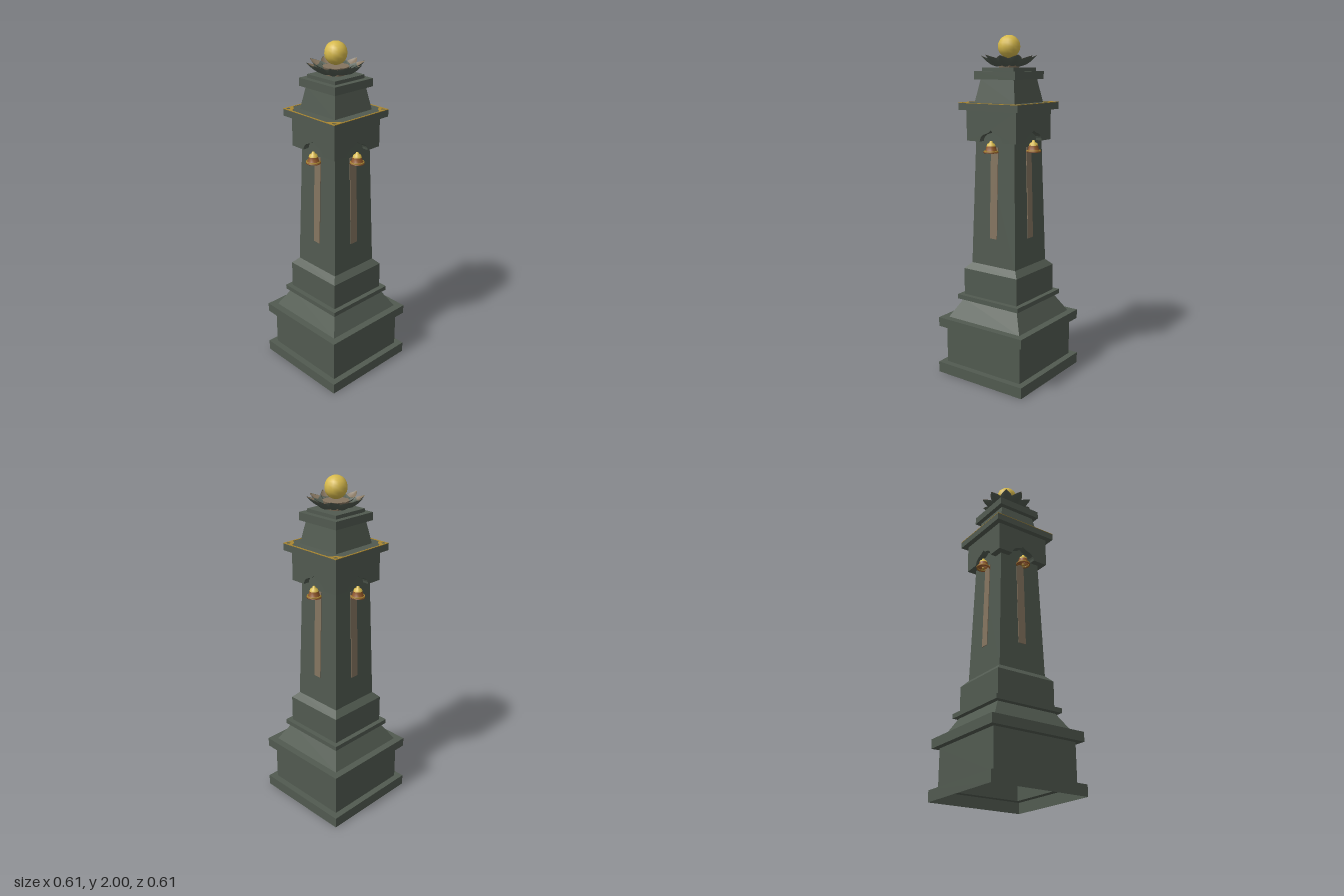
import * as THREE from 'three';

const mat = (name, color, side = THREE.FrontSide) => {
  const m = new THREE.MeshStandardMaterial({ color, side });
  m.name = name;
  return m;
};

export function createModel() {
  const stone = mat('grey green stone', 0x515a50, THREE.DoubleSide);
  const taupe = mat('taupe', 0x84745f, THREE.DoubleSide);
  const gold = mat('bright gold', 0xd6b94c);
  const inlayGold = mat('inlay gold', 0xa88632);
  const copper = mat('copper', 0x8e5528, THREE.DoubleSide);

  const model = new THREE.Group();
  model.name = 'lotusPillar';
  const add = (name, geo, material, parent = model) => {
    const mesh = new THREE.Mesh(geo, material);
    mesh.name = name;
    parent.add(mesh);
    return mesh;
  };

  // Square shell from a profile of [half width, height]
  const squareLathe = (profile) => {
    const pts = profile.map(([w, y]) => new THREE.Vector2(w * Math.SQRT2, y));
    const geo = new THREE.LatheGeometry(pts, 4, Math.PI / 4).toNonIndexed();
    geo.computeVertexNormals();
    return geo;
  };

  // Hollow stepped base, open underneath
  add('base', squareLathe([
    [0.305, 0], [0.305, 0.065], [0.267, 0.065], [0.267, 0.295], [0.301, 0.295], [0.301, 0.35],
    [0.258, 0.35], [0.194, 0.46], [0.219, 0.463], [0.219, 0.49], [0.19, 0.49], [0.19, 0.65], [0.156, 0.685],
  ]), stone);
  add('shaft', squareLathe([[0.156, 0.685], [0.13, 1.59]]), stone);
  add('corniceSlab', squareLathe([[0.13, 1.585], [0.205, 1.585], [0.205, 1.625], [0.138, 1.625]]), stone);
  add('neckAndCap', squareLathe([
    [0.14, 1.625], [0.115, 1.755], [0.142, 1.755], [0.142, 1.8], [0.11, 1.8], [0.11, 1.82], [0, 1.82],
  ]), stone);

  // Gold border with pierced corner ornaments on the cornice
  const square = (s) => [[-s, -s], [s, -s], [s, s], [-s, s]].map(([x, y]) => new THREE.Vector2(x, y));
  const inlay = new THREE.Shape(square(0.206));
  const inner = [];
  const cornerCurve = [[0.197, 0.14], [0.183, 0.152], [0.168, 0.16], [0.16, 0.168], [0.152, 0.183], [0.14, 0.197]];
  for (let k = 0; k < 4; k++) {
    for (const [x, y] of cornerCurve) {
      inner.push(new THREE.Vector2(x, y).rotateAround(new THREE.Vector2(), k * Math.PI / 2));
    }
  }
  inlay.holes.push(new THREE.Path(inner));
  for (const sx of [-1, 1]) for (const sy of [-1, 1]) {
    inlay.holes.push(new THREE.Path().absarc(sx * 0.185, sy * 0.185, 0.012, 0, Math.PI * 2, true));
  }
  const inlayGeo = new THREE.ExtrudeGeometry(inlay, { depth: 0.003, bevelEnabled: false, curveSegments: 8 });
  inlayGeo.rotateX(-Math.PI / 2).translate(0, 1.624, 0);
  add('corniceInlay', inlayGeo, inlayGold);

  // Collar panel with an arched notch
  const panel = new THREE.Shape();
  panel.moveTo(-0.173, 1.41);
  panel.lineTo(-0.08, 1.41);
  panel.quadraticCurveTo(-0.075, 1.445, -0.04, 1.455);
  panel.quadraticCurveTo(-0.015, 1.46, 0, 1.477);
  panel.quadraticCurveTo(0.015, 1.46, 0.04, 1.455);
  panel.quadraticCurveTo(0.075, 1.445, 0.08, 1.41);
  panel.lineTo(0.173, 1.41);
  panel.lineTo(0.173, 1.586);
  panel.lineTo(-0.173, 1.586);
  const panelGeo = new THREE.ExtrudeGeometry(panel, { depth: 0.045, bevelEnabled: false, curveSegments: 5 });
  panelGeo.translate(0, 0, 0.128);

  const v2 = (list) => list.map(([x, y]) => new THREE.Vector2(x, y));
  const bellGeo = new THREE.LatheGeometry(v2([
    [0.036, 1.352], [0.042, 1.352], [0.042, 1.358], [0.031, 1.367], [0.026, 1.39],
  ]), 12);
  const domeGeo = new THREE.LatheGeometry(v2([
    [0.026, 1.39], [0.021, 1.402], [0.01, 1.409], [0.007, 1.418], [0, 1.42],
  ]), 12);
  const lipGeo = new THREE.TorusGeometry(0.038, 0.004, 6, 12).rotateX(Math.PI / 2).translate(0, 1.361, 0);

  // One arch, ribbon and bell on every face
  for (let k = 0; k < 4; k++) {
    const face = new THREE.Group();
    face.name = 'pillarFace';
    face.rotation.y = k * Math.PI / 2;
    model.add(face);
    add('collarPanel', panelGeo, stone, face);

    const ribbon = add('ribbon', new THREE.BoxGeometry(0.05, 0.53, 0.006), taupe, face);
    ribbon.position.set(0, 1.115, 0.156 - 0.43 * 0.0287 + 0.001);
    ribbon.rotation.x = -Math.atan(0.0287);

    const bell = new THREE.Group();
    bell.name = 'bell';
    bell.position.z = 0.171;
    face.add(bell);
    add('bellBody', bellGeo, copper, bell);
    add('bellDome', domeGeo, gold, bell);
    add('bellLip', lipGeo, inlayGold, bell);
    add('clapper', new THREE.SphereGeometry(0.009, 8, 6).translate(0, 1.354, 0), inlayGold, bell);
  }

  // Cupped petal surface between two fractions of its length; side 1 = top, -1 = underside
  const petalSurface = (u0, u1, side) => {
    const geo = new THREE.PlaneGeometry(1, 2, 8, 8);
    const p = geo.attributes.position;
    for (let i = 0; i < p.count; i++) {
      const u = u0 + (p.getX(i) + 0.5) * (u1 - u0);
      const v = p.getY(i) * side;
      const swell = Math.max(0, Math.sin(Math.PI * (0.15 + 0.85 * u)));
      const width = 0.042 * Math.pow(swell, 0.8);
      const thickness = side < 0 ? 0.012 * (1 - v * v) * swell : 0;
      p.setXYZ(i, 0.035 + 0.125 * u, 1.832 + 0.055 * u * u + 0.018 * v * v * swell - thickness, -width * v);
    }
    geo.computeVertexNormals();
    return geo;
  };
  const petalParts = [
    ['petalTop', petalSurface(0, 0.65, 1), stone],
    ['petalTip', petalSurface(0.65, 1, 1), taupe],
    ['petalUnderside', petalSurface(0, 1, -1), stone],
  ];
  const lotus = new THREE.Group();
  lotus.name = 'lotus';
  model.add(lotus);
  for (let k = 0; k < 10; k++) {
    const petal = new THREE.Group();
    petal.name = 'petal';
    petal.rotation.y = k * Math.PI / 5;
    petal.position.y = (k % 2) * 0.003;
    lotus.add(petal);
    for (const [name, geo, material] of petalParts) add(name, geo, material, petal);
  }

  // Ten-sided seat and golden orb
  const seat = new THREE.CylinderGeometry(0.074, 0.06, 0.045, 10).toNonIndexed();
  seat.computeVertexNormals();
  add('orbSeat', seat.translate(0, 1.8435, 0), taupe, lotus);
  add('orb', new THREE.SphereGeometry(0.064, 12, 10).translate(0, 1.936, 0), gold);

  return model;
}
